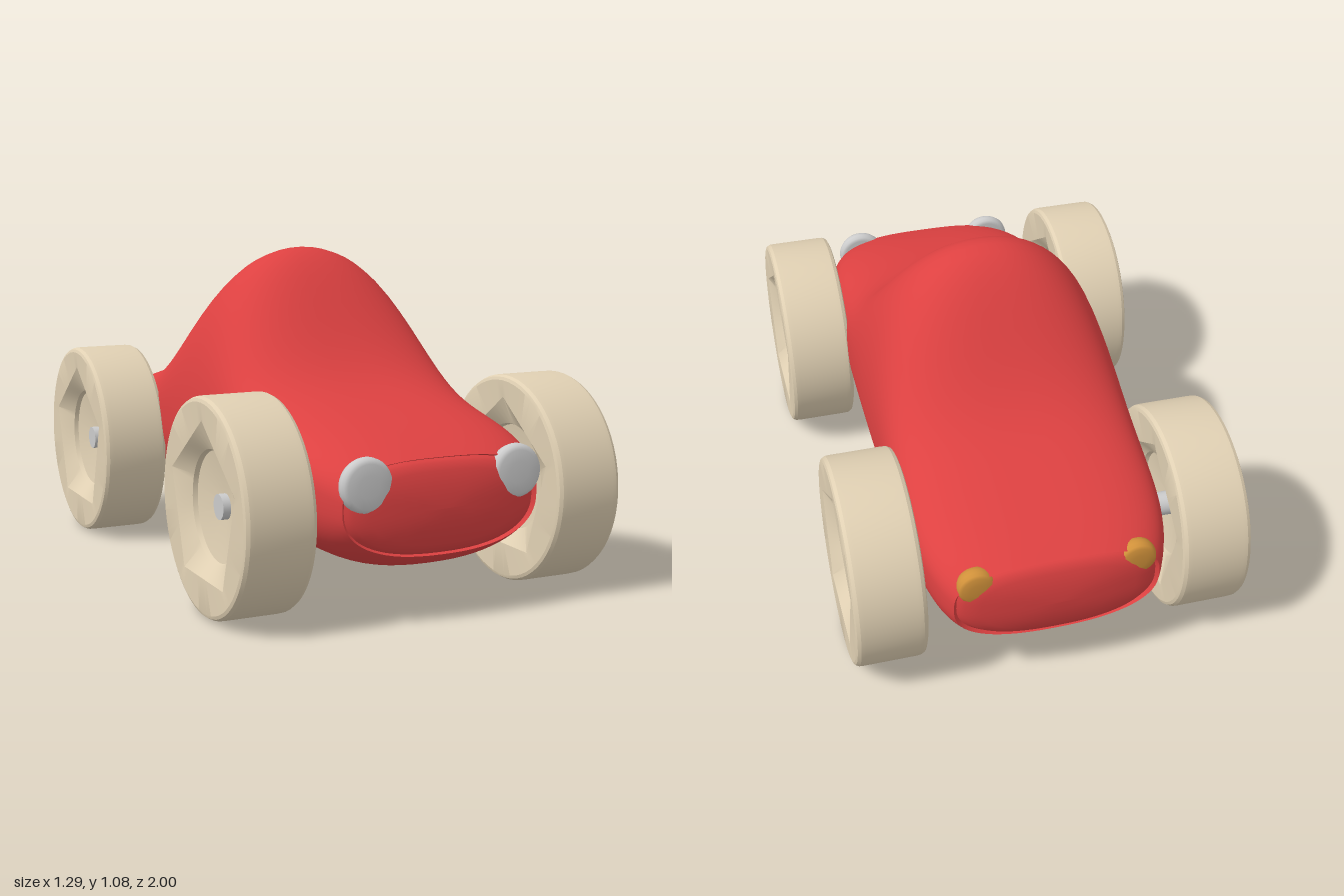
import * as THREE from 'three';
import { toCreasedNormals } from 'three/addons/utils/BufferGeometryUtils.js';

const material = (color) => new THREE.MeshStandardMaterial({ color });
const red = material(0xdd4141), beige = material(0xe0d0b3), white = material(0xdededa);
const orange = material(0xd0913a), grey = material(0xcccccc);

function add(parent, name, geometry, mat) {
  const mesh = new THREE.Mesh(geometry, mat);
  mesh.name = name;
  parent.add(mesh);
  return mesh;
}

// Skin a list of closed rings, each an array of [x, y, z]
function loft(rings) {
  const n = rings[0].length, index = [];
  for (let i = 0; i < rings.length - 1; i++) {
    for (let j = 0; j < n; j++) {
      const k = (j + 1) % n, a = i * n + j, b = i * n + k;
      index.push(a, b, a + n, b, b + n, a + n);
    }
  }
  const geometry = new THREE.BufferGeometry();
  geometry.setAttribute('position', new THREE.Float32BufferAttribute(rings.flat(2), 3));
  geometry.setIndex(index);
  geometry.computeVertexNormals();
  return geometry;
}

// Body cross-section at z: different superellipses above and below the belt line
const END = 0.965;
function bodySection(z) {
  const u = Math.abs(z) / END;
  const hump = Math.exp(-(((z + 0.03) / 0.315) ** 2));
  const top = 0.62 - 0.11 * u ** 4 + 0.46 * hump;
  const bottom = 0.14 + 0.07 * u ** 12;
  const halfWidth = 0.43 - 0.02 * u ** 2 - 0.075 * u ** 8;
  const belt = 0.45 - 0.08 * u ** 4;
  const ring = [];
  for (let j = 0; j < 72; j++) {
    const t = (j / 72) * Math.PI * 2, c = Math.cos(t), s = Math.sin(t);
    const p = 2 / (s > 0 ? 2.9 - 0.8 * hump : 2.4);
    const x = halfWidth * Math.sign(c) * Math.abs(c) ** p;
    const y = belt + (s > 0 ? top - belt : belt - bottom) * Math.sign(s) * Math.abs(s) ** p;
    ring.push([x, y, z]);
  }
  return ring;
}

// End panel: a thin groove inside the rim, then a shallow dome
function endPanel(side) {
  const profile = [[1, 0], [0.97, -0.012], [0.94, -0.004], [0.9, 0.005],
    [0.75, 0.016], [0.5, 0.026], [0.25, 0.032], [0.001, 0.034]];
  const rim = bodySection(side * END);
  const rings = profile.map(([k, dz]) =>
    rim.map(([x, y]) => [x * k, 0.36 + (y - 0.36) * k, side * (END + dz)]));
  if (side < 0) rings.reverse();
  return toCreasedNormals(loft(rings), 0.6);
}

// Wheel: rounded tyre with a five-sided dish around a round hub recess
function wheelGeometry() {
  const half = [[0.001, 0.035, 0], [0.04, 0.035, 0], [0.173, 0.06, 0], [0.178, 0.075, 0],
    [0.27, 0.113, 1], [0.325, 0.115, 0], [0.335, 0.111, 0], [0.341, 0.1, 0], [0.342, 0.085, 0]];
  const profile = [...half.map(([r, x, p]) => [r, -x, p]), ...half.reverse()];
  const sector = (Math.PI * 2) / 5;
  const rings = profile.map(([radius, x, pentagon]) => {
    const ring = [];
    for (let j = 0; j < 60; j++) {
      const t = (j / 60) * Math.PI * 2;
      const d = (t + sector / 2) % sector - sector / 2;
      const r = pentagon ? radius * Math.cos(sector / 2) / Math.cos(d) : radius;
      ring.push([x, r * Math.cos(t), r * Math.sin(t)]);
    }
    return ring;
  });
  return toCreasedNormals(loft(rings), 0.4);
}

// Rounded disc facing +z
function lampGeometry(r, depth) {
  const h = depth / 2;
  const points = [[0, -h], [r * 0.8, -h], [r * 0.94, -h * 0.8], [r, -h * 0.3], [r, h * 0.2],
    [r * 0.94, h * 0.65], [r * 0.8, h * 0.88], [r * 0.4, h], [0, h]];
  return new THREE.LatheGeometry(points.map(([x, y]) => new THREE.Vector2(x, y)), 40).rotateX(Math.PI / 2);
}

export function createModel() {
  const car = new THREE.Group();
  car.name = 'toyCar';

  // Body shell and its ends
  const sections = [];
  for (let i = 0; i <= 80; i++) sections.push(bodySection(END * Math.sin((i / 80 - 0.5) * Math.PI)));
  add(car, 'body', loft(sections), red);
  add(car, 'frontPanel', endPanel(1), red);
  add(car, 'rearPanel', endPanel(-1), red);

  // Axles, wheels and hub caps
  const wheelShape = wheelGeometry();
  const axleShape = new THREE.CylinderGeometry(0.04, 0.04, 1.12, 24).rotateZ(Math.PI / 2);
  const capShape = new THREE.CylinderGeometry(0.04, 0.04, 0.05, 24).rotateZ(Math.PI / 2);
  for (const end of [1, -1]) {
    const label = end > 0 ? 'front' : 'rear';
    add(car, label + 'Axle', axleShape, grey).position.set(0, 0.345, end * 0.635);
    for (const side of [1, -1]) {
      const wheel = new THREE.Group();
      wheel.name = label + (side > 0 ? 'Left' : 'Right') + 'Wheel';
      wheel.position.set(side * 0.53, 0.345, end * 0.635);
      const tyre = add(wheel, 'tyre', wheelShape, beige);
      tyre.rotation.x = Math.PI;
      add(wheel, 'hubCap', capShape, grey).position.x = side * 0.035;
      car.add(wheel);
    }
  }

  // Head and tail lamps
  const headShape = lampGeometry(0.085, 0.052), tailShape = lampGeometry(0.062, 0.056);
  for (const side of [1, -1]) {
    const label = side > 0 ? 'left' : 'right';
    add(car, label + 'Headlight', headShape, white).position.set(side * 0.257, 0.445, 0.962);
    const tail = add(car, label + 'TailLight', tailShape, orange);
    tail.position.set(side * 0.26, 0.45, -0.948);
    tail.rotation.y = Math.PI;
  }
  return car;
}
